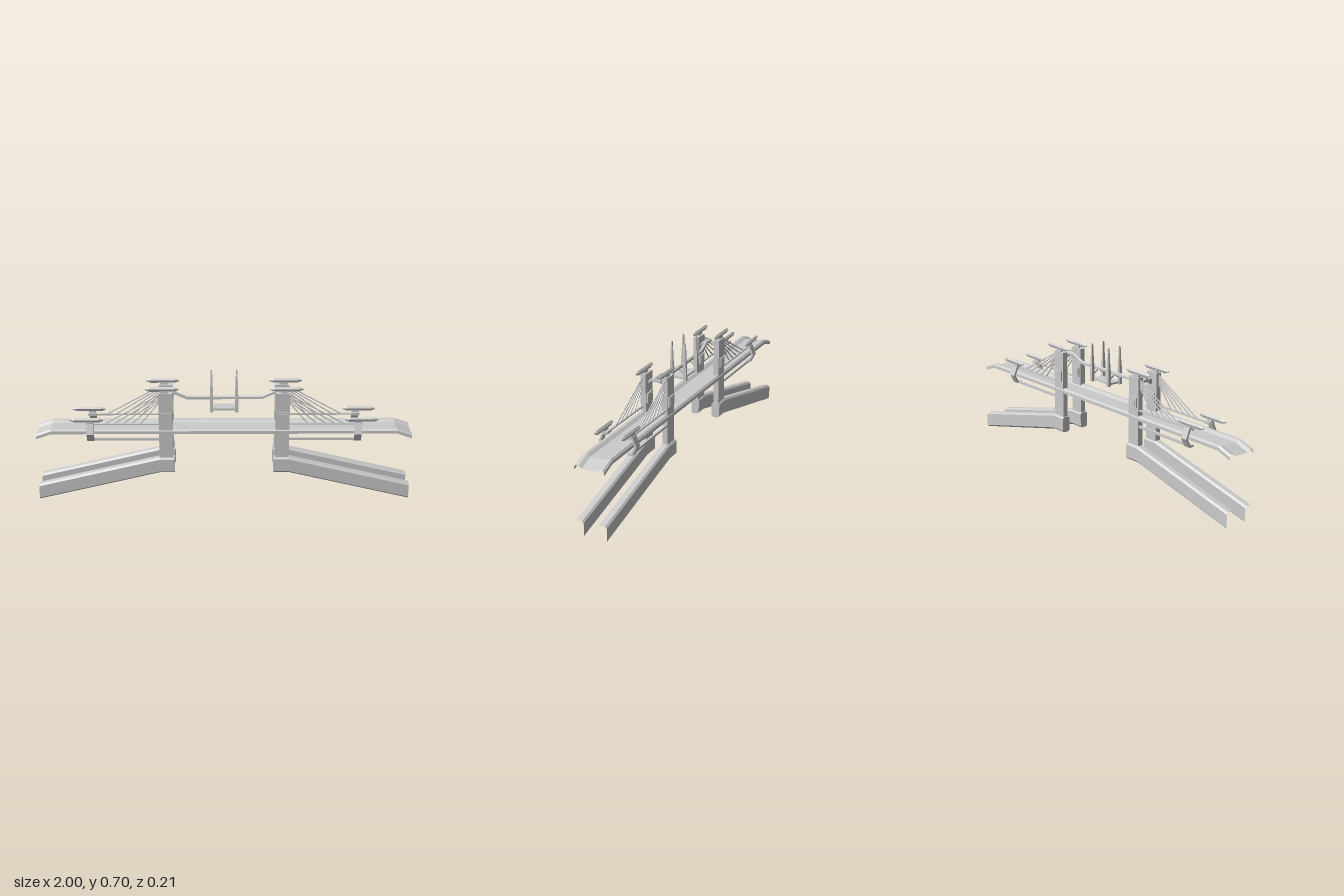
import * as THREE from 'three';

const mat = new THREE.MeshStandardMaterial({ color: 0xcccccc, flatShading: true });
const sheet = new THREE.MeshStandardMaterial({ color: 0xcccccc, flatShading: true, side: THREE.DoubleSide });

function add(parent, name, geo, x = 0, y = 0, z = 0, m = mat) {
  const mesh = new THREE.Mesh(geo, m);
  mesh.name = name;
  mesh.position.set(x, y, z);
  parent.add(mesh);
  return mesh;
}

function box(parent, name, w, h, d, x, y, z) {
  return add(parent, name, new THREE.BoxGeometry(w, h, d), x, y, z);
}

// Straight bar of w x h section between two points
function bar(parent, name, a, b, w, h = w) {
  const p = new THREE.Vector3(...a), q = new THREE.Vector3(...b);
  const mesh = new THREE.Mesh(new THREE.BoxGeometry(w, h, p.distanceTo(q)), mat);
  mesh.name = name;
  mesh.position.copy(p).lerp(q, 0.5);
  mesh.lookAt(q);
  parent.add(mesh);
}

// Sweep a clockwise [z, y] section through stations [x, dy, scale] of rising x
function sweep(section, stations, { closed = true, capStart = false, capEnd = false } = {}) {
  const n = section.length, pos = [], idx = [];
  for (const [x, dy, s = 1] of stations) for (const [z, y] of section) pos.push(x, y * s + dy, z * s);
  for (let i = 0; i < stations.length - 1; i++) {
    for (let j = 0; j < (closed ? n : n - 1); j++) {
      const a = i * n + j, b = i * n + (j + 1) % n;
      idx.push(a, b, b + n, a, b + n, a + n);
    }
  }
  const last = (stations.length - 1) * n;
  for (let j = 1; j < n - 1; j++) {
    if (capStart) idx.push(0, j + 1, j);
    if (capEnd) idx.push(last, last + j, last + j + 1);
  }
  const g = new THREE.BufferGeometry();
  g.setAttribute('position', new THREE.Float32BufferAttribute(pos, 3));
  g.setIndex(idx);
  const flat = g.toNonIndexed();
  flat.computeVertexNormals();
  return flat;
}

// Outline in [z, y], thickened along x about its middle
function plate(points, width) {
  const shape = new THREE.Shape(points.map(([z, y]) => new THREE.Vector2(z, y)));
  const g = new THREE.ExtrudeGeometry(shape, { depth: width, bevelEnabled: false });
  return g.translate(0, 0, -width / 2).rotateY(-Math.PI / 2);
}

// Pointed keel-shaped cap on a short stem
function topCap(parent, x, y, z) {
  const section = [[0.004, -0.012], [-0.004, -0.012], [-0.009, 0.002], [0, 0.012], [0.009, 0.002]];
  add(parent, 'capBeam', sweep(section, [[-0.088, 0, 0.35], [-0.065, 0], [0.065, 0], [0.088, 0, 0.35]],
    { capStart: true, capEnd: true }), x, y, z);
}

// One side of the tower pair: ramp foot, tower, stays, rails and bracket
function towerSide(parent, s) {
  const g = new THREE.Group();
  g.name = s > 0 ? 'frontTower' : 'backTower';
  parent.add(g);
  const z = s * 0.0635;

  // Hollow ramp foot with chamfered corners, open at its low end
  const w = 0.0235, h = 0.044, c = 0.0095;
  const oct = [[w - c, -h], [c - w, -h], [-w, c - h], [-w, h - c], [c - w, h], [w - c, h], [w, h - c], [w, c - h]];
  add(g, 'rampFoot', sweep(oct, [[0.265, 0.207], [0.345, 0.207], [1, 0.05]], { capStart: true }), 0, 0, z);

  box(g, 'tower', 0.074, 0.377, 0.03, 0.309, 0.4285, s * 0.062);
  box(g, 'towerPanel', 0.056, 0.054, 0.044, 0.309, 0.484, s * 0.0615);
  box(g, 'panelInset', 0.038, 0.036, 0.048, 0.309, 0.484, s * 0.0615);
  box(g, 'capStem', 0.04, 0.016, 0.012, 0.318, 0.623, z);
  topCap(g, 0.328, 0.639, z);

  // Fan of stays
  for (let i = 0; i < 5; i++) {
    bar(g, 'stay', [0.34, 0.607 - i * 0.01, z], [0.635 - i * 0.048, 0.442, z], 0.005);
  }
  bar(g, 'upperRail', [0.34, 0.442, s * 0.066], [0.735, 0.442, s * 0.066], 0.012, 0.007);
  bar(g, 'lowerRail', [0.34, 0.356, s * 0.07], [0.725, 0.356, s * 0.07], 0.012, 0.012);

  // Angled bracket wrapped around the deck edge
  const outline = [[0.055, 0.45], [0.083, 0.45], [0.105, 0.397], [0.08, 0.349], [0.055, 0.349],
    [0.055, 0.36], [0.074, 0.36], [0.094, 0.397], [0.077, 0.437], [0.055, 0.437]];
  add(g, 'bracket', plate(outline.map(([a, b]) => [a * s, b]), 0.038), 0.709, 0, 0);
  box(g, 'bracketStem', 0.036, 0.014, 0.01, 0.711, 0.455, s * 0.075);
  topCap(g, 0.728, 0.47, s * 0.075);
}

function buildHalf() {
  const half = new THREE.Group();
  half.name = 'towerPair';
  for (const s of [1, -1]) {
    towerSide(half, s);
    // Arch between the towers
    bar(half, 'archLeg', [0.3, 0.56, s * 0.05], [0.322, 0.585, s * 0.022], 0.016, 0.016);

    // Spire, tapering in two steps
    const spire = new THREE.Group();
    spire.name = 'spire';
    spire.position.set(0.067, 0, s * 0.0385);
    half.add(spire);
    for (const [top, bottom, y0, y1] of [[0.016, 0.018, 0.5, 0.6], [0.007, 0.014, 0.6, 0.708]]) {
      const geo = new THREE.CylinderGeometry(top * Math.SQRT1_2, bottom * Math.SQRT1_2, y1 - y0, 4).rotateY(Math.PI / 4);
      add(spire, 'spireSection', geo, 0, (y0 + y1) / 2, 0);
    }
    bar(half, 'spireBrace', [0.067, 0.54, s * 0.034], [0.067, 0.56, 0], 0.012, 0.008);
  }
  bar(half, 'archTop', [0.322, 0.585, -0.026], [0.322, 0.585, 0.026], 0.016, 0.014);
  return half;
}

export function createModel() {
  const root = new THREE.Group();
  root.name = 'bridge';

  const half = buildHalf();
  const other = half.clone();
  other.rotation.y = Math.PI;
  root.add(half, other);

  // Deck with raised kerbs, dipping at both ends
  const edge = [[0.081, 0.39], [0.081, 0.406], [0.072, 0.415], [0.057, 0.415], [0.04, 0.403]];
  const profile = [...edge.map(([z, y]) => [-z, y]), ...edge.reverse()];
  add(root, 'deck', sweep(profile, [[-1, -0.028], [-0.92, 0], [0.92, 0], [1, -0.028]], { closed: false }), 0, 0, 0, sheet);

  // Upper centre beam, rising to the arches
  const beam = [[0.008, -0.009], [-0.008, -0.009], [-0.008, 0.004], [0, 0.009], [0.008, 0.004]];
  add(root, 'centreBeam', sweep(beam, [[-0.325, 0.597], [-0.265, 0.597], [-0.2, 0.568], [0.2, 0.568], [0.265, 0.597], [0.325, 0.597]],
    { capStart: true, capEnd: true }));

  box(root, 'hangingPlatform', 0.14, 0.01, 0.066, 0, 0.511, 0);
  return root;
}
